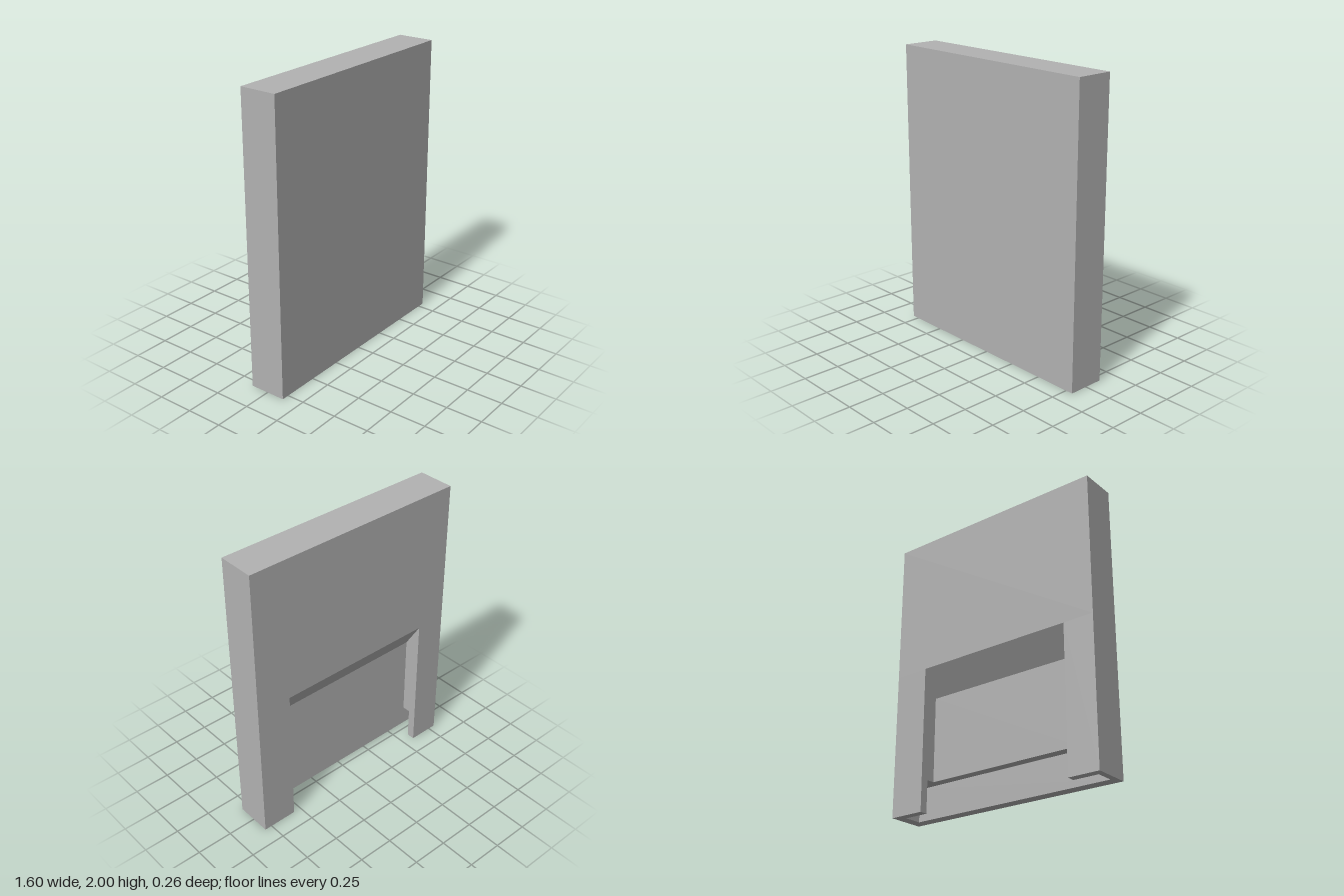
import * as THREE from 'three';

// Body extents
const W = 0.802, H = 2, B = -0.128, F = 0.128;
// Back recess: sides, sloped top, floor depth
const R0 = -0.585, R1 = 0.555, TOP = 1.0, INNER_TOP = 0.817, P = B + 0.114;
// Mounting slot: ends, height, lip depth and floor depth
const S0 = -0.76, S1 = 0.73, SLOT_H = 0.225, L = B + 0.056, S = B + 0.18;

// Quad whose corners are ordered so that it faces the given direction
function quad(points, facing) {
  const [a, b, c, d] = points.map((p) => new THREE.Vector3(...p));
  const n = b.clone().sub(a).cross(c.clone().sub(a));
  const order = n.dot(new THREE.Vector3(...facing)) > 0 ? [a, b, c, a, c, d] : [a, c, b, a, d, c];
  return order.flatMap((v) => v.toArray());
}

// Axis-aligned rectangles, each given by its plane, facing sign and ranges
const faceX = (x, s, y0, y1, z0, z1) =>
  quad([[x, y0, z0], [x, y1, z0], [x, y1, z1], [x, y0, z1]], [s, 0, 0]);
const faceY = (y, s, x0, x1, z0, z1) =>
  quad([[x0, y, z0], [x1, y, z0], [x1, y, z1], [x0, y, z1]], [0, s, 0]);
const faceZ = (z, s, x0, x1, y0, y1) =>
  quad([[x0, y0, z], [x1, y0, z], [x1, y1, z], [x0, y1, z]], [0, 0, s]);

function part(name, quads, material) {
  const geometry = new THREE.BufferGeometry();
  geometry.setAttribute('position', new THREE.Float32BufferAttribute(quads.flat(), 3));
  geometry.computeVertexNormals();
  const mesh = new THREE.Mesh(geometry, material);
  mesh.name = name;
  return mesh;
}

export function createModel() {
  const grey = new THREE.MeshStandardMaterial({ color: 0xb2b2b2 });
  grey.name = 'plain grey';

  const group = new THREE.Group();
  group.name = 'wallPanel';

  // Outer slab, open where the recess and slot cut into it
  group.add(part('slab', [
    faceZ(F, 1, -W, W, 0, H),
    faceX(-W, -1, 0, H, B, F),
    faceX(W, 1, 0, H, B, F),
    faceY(H, 1, -W, W, B, F),
    faceZ(B, -1, -W, W, TOP, H),
    faceZ(B, -1, -W, R0, 0, TOP),
    faceZ(B, -1, R1, W, 0, TOP),
  ], grey));

  // Underside rim around the slot mouth
  group.add(part('bottomRim', [
    faceY(0, -1, -W, W, S, F),
    faceY(0, -1, -W, S0, B, S),
    faceY(0, -1, S1, W, B, S),
    faceY(0, -1, S0, R0, B, L),
    faceY(0, -1, R1, S1, B, L),
  ], grey));

  // Recess floor, sloped top and two cheeks
  const cheeks = [[R0, 1], [R1, -1]].flatMap(([x, s]) => [
    faceX(x, s, 0, SLOT_H, B, L),
    quad([[x, SLOT_H, B], [x, SLOT_H, P], [x, INNER_TOP, P], [x, TOP, B]], [s, 0, 0]),
  ]);
  group.add(part('backRecess', [
    faceZ(P, -1, R0, R1, SLOT_H, INNER_TOP),
    quad([[R0, TOP, B], [R1, TOP, B], [R1, INNER_TOP, P], [R0, INNER_TOP, P]], [0, -1, -1]),
    ...cheeks,
  ], grey));

  // Wider slot behind the two lips
  const lips = [[S0, R0], [R1, S1]].flatMap(([x0, x1]) => [
    faceZ(L, 1, x0, x1, 0, SLOT_H),
    faceY(SLOT_H, -1, x0, x1, L, P),
  ]);
  group.add(part('mountingSlot', [
    faceZ(S, -1, S0, S1, 0, SLOT_H),
    faceY(SLOT_H, -1, S0, S1, P, S),
    faceX(S0, 1, 0, SLOT_H, L, S),
    faceX(S1, -1, 0, SLOT_H, L, S),
    ...lips,
  ], grey));

  return group;
}
